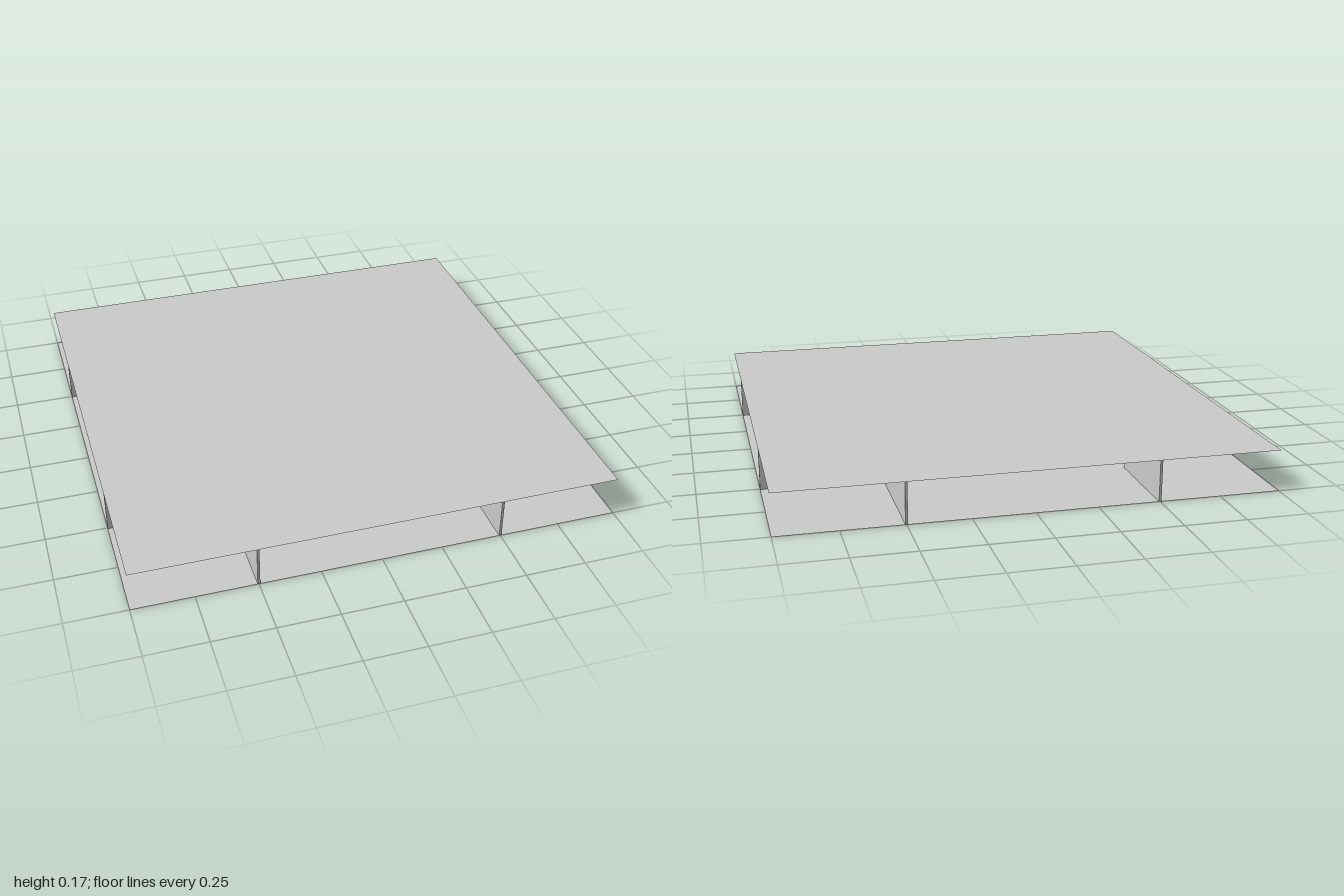
import * as THREE from 'three';

const H = 0.17; // storey height
const T = 0.01; // partition thickness

export function createModel() {
  const model = new THREE.Group();
  const material = new THREE.MeshStandardMaterial({ color: 0xcccccc, flatShading: true });
  const sheet = new THREE.MeshStandardMaterial({ color: 0xcccccc, side: THREE.DoubleSide });

  // Floor and ceiling sheets
  const addSheet = (name, y) => {
    const mesh = new THREE.Mesh(new THREE.PlaneGeometry(2, 2).rotateX(-Math.PI / 2), sheet);
    mesh.position.y = y;
    mesh.name = name;
    model.add(mesh);
  };
  addSheet('floor', 0);
  addSheet('ceiling', H);

  // Upright block spanning x0..x1 and z0..z1, standing on the floor
  const addBlock = (name, x0, x1, z0, z1, height = H) => {
    const mesh = new THREE.Mesh(new THREE.BoxGeometry(x1 - x0, height, z1 - z0), material);
    mesh.position.set((x0 + x1) / 2, height / 2, (z0 + z1) / 2);
    mesh.name = name;
    model.add(mesh);
  };
  const wallAlongX = (name, z, x0, x1, height) => addBlock(name, x0, x1, z - T / 2, z + T / 2, height);
  const wallAlongZ = (name, x, z0, z1) => addBlock(name, x - T / 2, x + T / 2, z0, z1);

  // Partitions running in from the four open sides
  wallAlongX('leftFrontWall', 0.5, 0.59, 1);
  wallAlongX('leftBackWall', -0.5, 0.69, 1);
  wallAlongX('rightFrontWall', 0.5, -1, -0.56);
  wallAlongX('rightBackWall', -0.5, -1, -0.51);
  wallAlongZ('frontLeftWall', 0.5, 0.6, 1);
  wallAlongZ('frontRightWall', -0.5, 0.64, 1);
  wallAlongZ('backLeftWall', 0.5, -1, -0.565);
  wallAlongZ('backRightWall', -0.5, -1, -0.6);

  // Inner partitions and the half-height wall
  wallAlongX('innerFrontWall', 0.21, 0.12, 0.59);
  wallAlongX('innerBackWall', -0.29, 0.3, 0.69);
  wallAlongZ('innerLeftWall', 0.5, 0.31, 0.5);
  wallAlongZ('innerRightWall', -0.5, 0, 0.165);
  wallAlongX('lowWall', 0.15, -0.5, -0.2, 0.07);

  // Square pillars, given by their centres
  const pillars = [
    [-0.5, 0.28], [-0.38, 0.28], [-0.33, -0.407], [-0.257, -0.46],
    [-0.045, 0.187], [-0.012, -0.007], [0.06, -0.053], [0.28, -0.097], [0.425, 0.28],
  ];
  for (const [x, z] of pillars) addBlock('pillar', x - 0.022, x + 0.022, z - 0.022, z + 0.022);

  return model;
}
